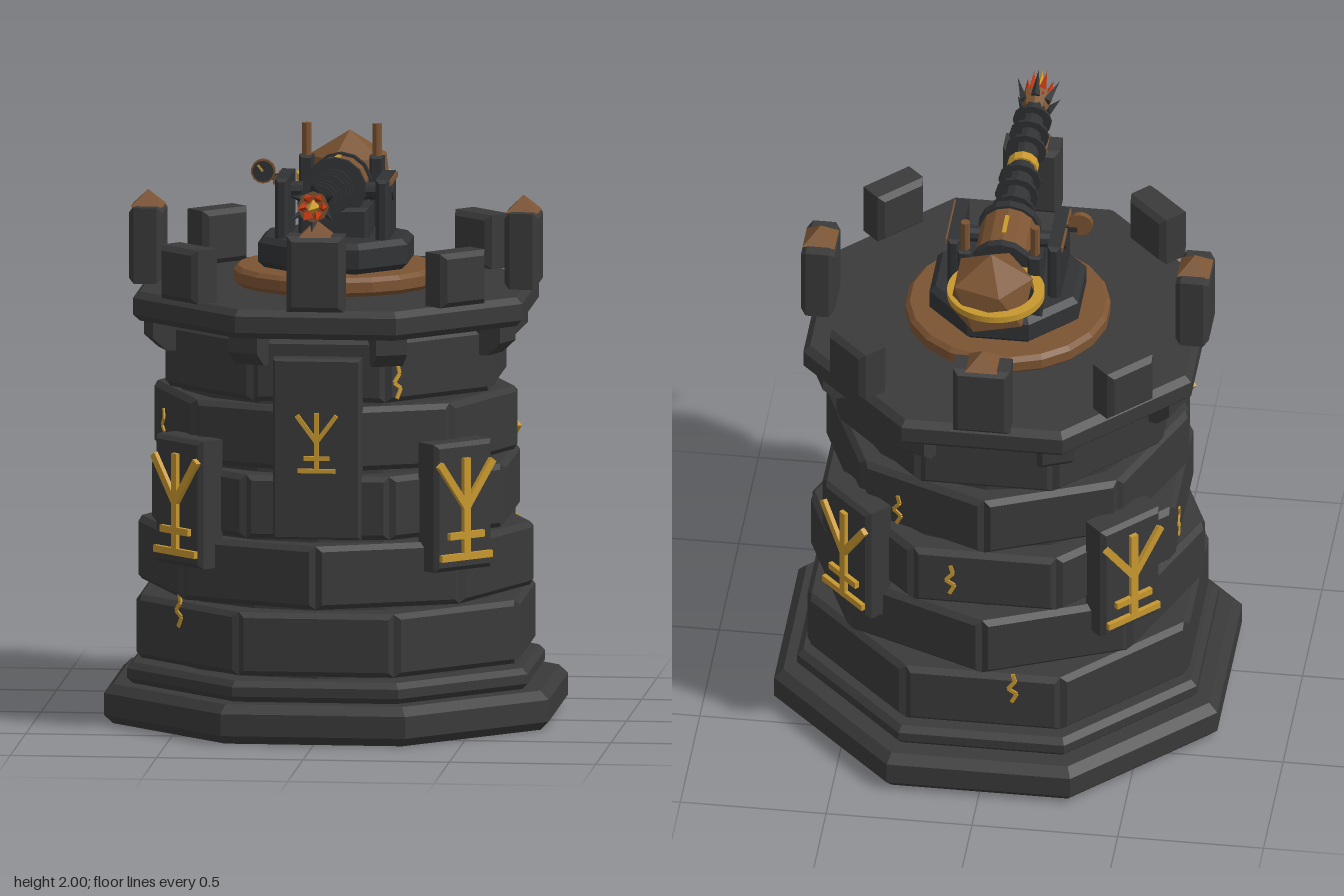
import * as THREE from 'three';

const mat = (name, color) => Object.assign(new THREE.MeshStandardMaterial({ color }), { name });

export function createModel() {
  const stone = mat('dark stone', 0x3a3a3a);
  const iron = mat('black iron', 0x303234);
  const bronze = mat('bronze', 0x7c5432);
  const gold = mat('gold', 0xc8982f);
  const red = mat('flame red', 0xba340f);

  // ---- helpers ----
  const flat = (g) => {
    const f = g.index ? g.toNonIndexed() : g;
    f.computeVertexNormals();
    return f;
  };
  const add = (parent, name, geo, material, x = 0, y = 0, z = 0) => {
    const m = new THREE.Mesh(geo, material);
    m.name = name;
    m.position.set(x, y, z);
    parent.add(m);
    return m;
  };
  const group = (parent, name, x = 0, y = 0, z = 0) => {
    const g = new THREE.Group();
    g.name = name;
    g.position.set(x, y, z);
    parent.add(g);
    return g;
  };
  // group turned to face outward at an angle around the tower
  const facing = (parent, name, angle) => {
    const g = group(parent, name);
    g.rotation.y = angle;
    return g;
  };
  // centred box with chamfered edges
  const block = (w, h, d, b = 0.015) => {
    const x = w / 2 - b, y = h / 2 - b;
    const s = new THREE.Shape([[-x, -y], [x, -y], [x, y], [-x, y]].map((p) => new THREE.Vector2(...p)));
    const g = new THREE.ExtrudeGeometry(s, { depth: d - 2 * b, bevelSize: b, bevelThickness: b, bevelSegments: 1 });
    return g.translate(0, 0, b - d / 2);
  };
  // chamfered prism with a flat side to the front; a = apothem
  const prism = (a, y0, y1, b = 0.02, sides = 8) => {
    const k = 1 / Math.cos(Math.PI / sides);
    const pts = [[0, y0], [a - b, y0], [a, y0 + b], [a, y1 - b], [a - b, y1], [0, y1]];
    return flat(new THREE.LatheGeometry(pts.map(([r, y]) => new THREE.Vector2(r * k, y)), sides, Math.PI / sides));
  };
  // cylinder along z, from z0 (radius r0) to z1 (radius r1)
  const tubeZ = (r0, r1, z0, z1, sides = 12) =>
    flat(new THREE.CylinderGeometry(r1, r0, z1 - z0, sides).rotateX(Math.PI / 2).translate(0, 0, (z0 + z1) / 2));
  // flat bar between two points of an xy plane
  const bar = (parent, name, [x0, y0], [x1, y1], w, d) => {
    const m = add(parent, name, new THREE.BoxGeometry(Math.hypot(x1 - x0, y1 - y0), w, d), gold, (x0 + x1) / 2, (y0 + y1) / 2);
    m.rotation.z = Math.atan2(y1 - y0, x1 - x0);
  };
  const emblem = (parent, y, z, s) => {
    const g = group(parent, 'goldEmblem', 0, y, z);
    g.scale.set(s, s, 1);
    bar(g, 'emblemStem', [0, 0], [0, 0.35], 0.028, 0.018);
    bar(g, 'emblemFoot', [-0.11, 0.012], [0.11, 0.012], 0.024, 0.018);
    bar(g, 'emblemCrossbar', [-0.075, 0.085], [0.075, 0.085], 0.024, 0.018);
    for (const s2 of [-1, 1]) bar(g, 'emblemArm', [0, 0.18], [s2 * 0.115, 0.335], 0.026, 0.018);
  };

  const model = new THREE.Group();
  model.name = 'cannonTower';
  const tower = group(model, 'tower', 0, 0, -0.075);

  // ---- plinth, core and roof slab ----
  add(tower, 'plinth', prism(0.76, 0, 0.135, 0.03), stone);
  add(tower, 'upperPlinth', prism(0.685, 0.135, 0.207, 0.02), stone);
  add(tower, 'core', flat(new THREE.CylinderGeometry(0.53, 0.6, 1.2, 16)), stone, 0, 0.79, 0);
  add(tower, 'roofSlab', prism(0.665, 1.38, 1.48, 0.022), stone);

  // ---- five courses of bricks, every other one turned half a side ----
  [0.655, 0.63, 0.605, 0.58, 0.56].forEach((a, row) => {
    const geo = block(2 * a * Math.tan(Math.PI / 8) - 0.012, 0.218, 0.14, 0.018);
    for (let i = 0; i < 8; i++) {
      const side = facing(tower, 'brickCourse', ((i + (row % 2) / 2) * Math.PI) / 4);
      add(side, 'brick', geo, stone, 0, 0.33 + row * 0.2325, a - 0.07);
    }
  });

  // ---- corbels under the slab corners ----
  const corbelShape = new THREE.Shape(
    [[0.48, 1.28], [0.615, 1.28], [0.665, 1.325], [0.665, 1.385], [0.48, 1.385]].map((p) => new THREE.Vector2(...p)));
  const corbel = new THREE.ExtrudeGeometry(corbelShape, { depth: 0.11, bevelEnabled: false })
    .translate(0, 0, -0.055).rotateY(-Math.PI / 2);
  for (let i = 0; i < 8; i++) add(facing(tower, 'corbelMount', ((i + 0.5) * Math.PI) / 4), 'corbel', corbel, stone);

  // ---- merlons: tall with bronze caps on the sides, short on the diagonals ----
  const cap = flat(new THREE.ConeGeometry(0.078, 0.055, 4).rotateY(Math.PI / 4));
  for (let i = 0; i < 8; i++) {
    const side = facing(tower, 'battlement', (i * Math.PI) / 4);
    const h = i % 2 ? 0.185 : 0.26;
    add(side, 'merlon', block(0.195, h, 0.115, 0.018), stone, 0, 1.48 + h / 2, 0.642);
    if (i % 2 === 0) add(side, 'merlonCap', cap, bronze, 0, 1.765, 0.642);
  }

  // ---- emblem plaques on the diagonals, tall panel on the front ----
  for (let i = 1; i < 8; i += 2) {
    const side = facing(tower, 'plaqueMount', (i * Math.PI) / 4);
    add(side, 'plaque', block(0.25, 0.44, 0.11, 0.015), stone, 0, 0.793, 0.64);
    emblem(side, 0.61, 0.702, 1);
  }
  add(tower, 'frontPanel', block(0.3, 0.62, 0.1, 0.008), stone, 0, 1.0, 0.58);
  emblem(tower, 0.92, 0.634, 0.59);

  // ---- glowing cracks: angle in degrees, sideways offset, height, distance ----
  const zigzag = [[0, -0.055], [0.018, -0.02], [-0.012, 0.0], [0.012, 0.03], [0.004, 0.06]];
  [[45, -0.19, 1.22, 0.56], [180, 0.1, 0.39, 0.655], [-67.5, -0.1, 1.0, 0.58], [-90, -0.16, 0.78, 0.605],
    [180, -0.12, 0.79, 0.605], [157.5, -0.1, 0.99, 0.58], [-45, -0.04, 0.41, 0.655]].forEach(([deg, t, y, r]) => {
    const g = group(facing(tower, 'crackMount', (deg * Math.PI) / 180), 'goldCrack', t, y, r + 0.002);
    for (let k = 0; k < 4; k++) bar(g, 'crackSegment', zigzag[k], zigzag[k + 1], 0.013, 0.008);
  });

  // ---- turntable and gun carriage ----
  add(tower, 'turntable', prism(0.345, 1.48, 1.545, 0.015, 20), bronze);
  add(tower, 'carriageBase', prism(0.255, 1.545, 1.65, 0.02), iron);
  const gun = group(model, 'gun');
  for (const s of [-1, 1]) {
    add(gun, 'cheekPlate', block(0.045, 0.22, 0.26, 0.012), iron, s * 0.172, 1.745, -0.06);
    add(gun, 'cheekTrim', new THREE.BoxGeometry(0.012, 0.018, 0.23), bronze, s * 0.195, 1.842, -0.06);
    add(gun, 'rearPost', block(0.05, 0.25, 0.05, 0.008), iron, s * 0.12, 1.765, -0.27);
    add(gun, 'rearRod', flat(new THREE.CylinderGeometry(0.016, 0.016, 0.13, 8)), bronze, s * 0.12, 1.935, -0.27);
  }
  add(gun, 'cradle', block(0.24, 0.12, 0.2, 0.012), iron, 0, 1.69, -0.08);
  const trunnion = flat(new THREE.CylinderGeometry(0.03, 0.03, 0.4, 10).rotateZ(Math.PI / 2));
  add(gun, 'trunnion', trunnion, iron, 0, 1.8, -0.06);

  // ---- round gauge beside the carriage ----
  add(gun, 'gaugeArm', new THREE.BoxGeometry(0.07, 0.02, 0.015), iron, -0.2, 1.845, -0.05);
  add(gun, 'gaugeCase', tubeZ(0.042, 0.042, -0.01, 0.01, 14), bronze, -0.245, 1.865, -0.045);
  add(gun, 'gaugeFace', tubeZ(0.036, 0.036, 0, 0.008, 14), iron, -0.245, 1.865, -0.04);
  const needle = group(gun, 'gaugeNeedle', -0.245, 1.865, -0.031);
  bar(needle, 'needle', [0, 0], [-0.018, 0.022], 0.008, 0.004);

  // ---- breech and ringed barrel, tilted slightly upward ----
  const barrel = group(gun, 'barrelAssembly', 0, 1.81, -0.02);
  barrel.rotation.x = -0.06;
  add(barrel, 'breech', tubeZ(0.098, 0.098, -0.21, -0.01, 14), bronze);
  for (const z of [-0.23, -0.02]) add(barrel, 'breechBand', tubeZ(0.108, 0.108, z, z + 0.03, 14), iron);
  add(barrel, 'breechStrip', new THREE.BoxGeometry(0.014, 0.01, 0.09), gold, 0, 0.099, -0.11);
  add(barrel, 'barrel', tubeZ(0.055, 0.038, 0, 0.63), iron);
  for (const z of [0.08, 0.17, 0.25, 0.41, 0.49, 0.57]) {
    const r = 0.078 - 0.02 * z;
    add(barrel, 'barrelRing', tubeZ(r, r, z - 0.006, z + 0.006), iron);
  }
  add(barrel, 'goldBand', tubeZ(0.054, 0.054, 0.305, 0.34), gold);

  // ---- muzzle with claws and flames ----
  add(barrel, 'muzzle', tubeZ(0.036, 0.054, 0.61, 0.69, 8), bronze);
  const spikes = (name, material, count, r, len, offset, tilt, z, phase) => {
    const geo = flat(new THREE.ConeGeometry(r, len, 4).rotateX(Math.PI / 2).translate(0, 0, len / 2));
    for (let i = 0; i < count; i++) {
      const turn = group(barrel, name + 'Mount');
      turn.rotation.z = ((i + phase) * 2 * Math.PI) / count;
      add(turn, name, geo, material, 0, offset, z).rotation.x = -tilt;
    }
  };
  spikes('claw', iron, 6, 0.016, 0.1, 0.045, 0.4, 0.65, 0);
  spikes('redFlame', red, 6, 0.02, 0.12, 0.03, 0.12, 0.67, 0.5);
  spikes('goldFlame', gold, 1, 0.028, 0.165, 0, 0, 0.675, 0);

  // ---- faceted counterweight with a gold ring ----
  const ball = new THREE.IcosahedronGeometry(0.16, 0).rotateZ(Math.atan(2 / (1 + Math.sqrt(5))));
  add(gun, 'counterweight', flat(ball), bronze, 0.015, 1.8, -0.39);
  const ringShape = new THREE.Shape().absarc(0, 0, 0.166, 0, 2 * Math.PI);
  ringShape.holes.push(new THREE.Path().absarc(0, 0, 0.13, 0, 2 * Math.PI, true));
  const ring = new THREE.ExtrudeGeometry(ringShape, { depth: 0.024, bevelEnabled: false, curveSegments: 32 })
    .rotateX(-Math.PI / 2);
  add(gun, 'counterweightRing', ring, gold, 0, 1.79, -0.385);
  add(gun, 'counterweightArm', tubeZ(0.05, 0.05, -0.32, -0.2, 8), iron, 0, 1.8, 0);

  return model;
}
